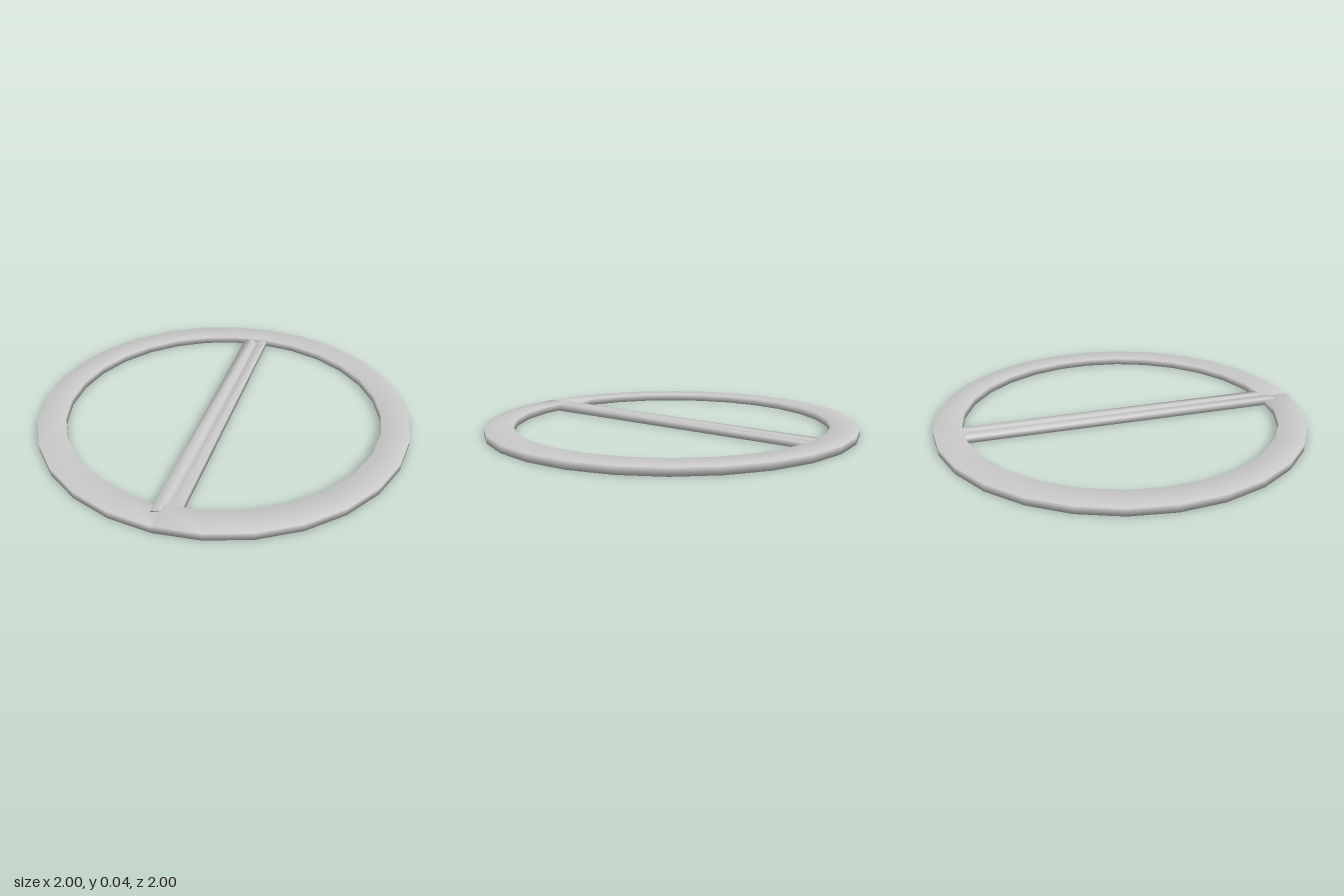
import * as THREE from 'three';

const material = new THREE.MeshStandardMaterial({ color: 0xcccccc, side: THREE.DoubleSide });

// Skins a list of equal-length sections (arrays of Vector3) and caps both ends.
function loft(name, sections) {
  const n = sections[0].length;
  const last = (sections.length - 1) * n;
  const index = [];
  for (let s = 0; s < last; s += n) {
    for (let j = 0; j < n; j++) {
      const k = (j + 1) % n;
      index.push(s + j, s + k, s + n + k, s + j, s + n + k, s + n + j);
    }
  }
  for (let j = 1; j < n - 1; j++) {
    index.push(0, j + 1, j, last, last + j, last + j + 1);
  }
  const geometry = new THREE.BufferGeometry().setFromPoints(sections.flat());
  geometry.setIndex(index);
  geometry.computeVertexNormals();
  const mesh = new THREE.Mesh(geometry, material);
  mesh.name = name;
  return mesh;
}

// Flat 28-sided band whose two ends meet under the front of the pin
function makeRing() {
  const sides = 28, inner = 0.853, outer = 1, height = 0.04;
  const step = (Math.PI * 2) / sides;
  const sections = [];
  for (let i = 0; i <= sides; i++) {
    const a = (i - 1) * step;
    const innerTop = i === sides ? 0.015 : height; // closing end dips below the pin
    const profile = [[inner, 0], [inner, innerTop], [outer, height], [outer, 0]];
    sections.push(profile.map(([r, y]) => new THREE.Vector3(r * Math.sin(a), y, r * Math.cos(a))));
  }
  return loft('ring', sections);
}

// Grooved bar crossing the ring, slightly lower at the back where it tucks into the band
function makePin() {
  const profile = [
    [0, 0.014], [-0.018, 0.038], [-0.07, 0.035],
    [-0.07, 0], [0.07, 0], [0.07, 0.033], [0.022, 0.037],
  ];
  const back = new THREE.Vector3(0.14, 0, -0.87);
  const front = new THREE.Vector3(-0.177, 0, 0.855);
  const sections = [];
  for (const t of [0, 1]) {
    const center = back.clone().lerp(front, t);
    sections.push(profile.map(([u, y]) => new THREE.Vector3(
      center.x + u,
      y * (0.88 + 0.17 * t),
      center.z - u * 0.3 * t, // slanted front cut
    )));
  }
  return loft('pin', sections);
}

export function createModel() {
  const group = new THREE.Group();
  group.name = 'ringBrooch';
  group.add(makeRing(), makePin());
  return group;
}
